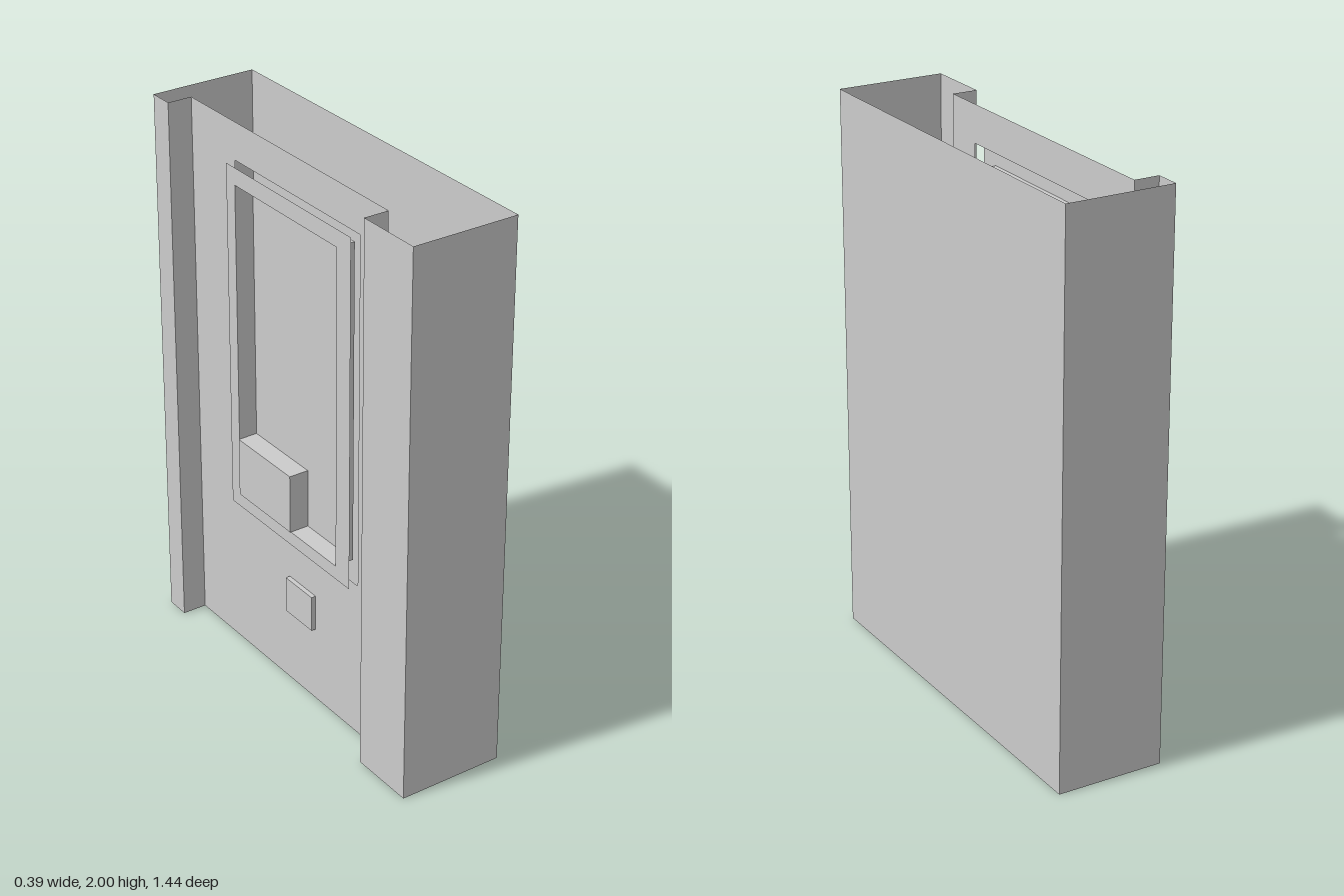
import * as THREE from 'three';

const material = new THREE.MeshStandardMaterial({
  color: 0xcccccc, flatShading: true, side: THREE.DoubleSide,
});

const H = 2;            // height
const X = 0.195;        // half thickness
const Z = 0.72;         // half width
const PANEL_X = -0.105; // recessed panel
const FRAME_X = -0.14;  // front of the window frame
const PANE_X = -0.07;   // back of the window recess

// Rectangles are [z0, z1, y0, y1]
const frameRect = [-0.37, 0.33, 0.59, 1.865];
const paneRect = [-0.32, 0.253, 0.64, 1.803];

function trace(path, [z0, z1, y0, y1]) {
  path.moveTo(z0, y0);
  path.lineTo(z1, y0);
  path.lineTo(z1, y1);
  path.lineTo(z0, y1);
  path.closePath();
  return path;
}

// Thin sheet facing -x, with an optional rectangular opening
function sheet(x, rect, hole) {
  const shape = trace(new THREE.Shape(), rect);
  if (hole) shape.holes.push(trace(new THREE.Path(), hole));
  return new THREE.ShapeGeometry(shape).rotateY(-Math.PI / 2).translate(x, 0, 0);
}

// Full-height upright sheet between two plan points [x, z]
function wall([xa, za], [xb, zb]) {
  const g = new THREE.PlaneGeometry(Math.hypot(xb - xa, zb - za), H);
  g.rotateY(-Math.atan2(zb - za, xb - xa));
  return g.translate((xa + xb) / 2, H / 2, (za + zb) / 2);
}

function block(x0, x1, [z0, z1, y0, y1]) {
  return new THREE.BoxGeometry(x1 - x0, y1 - y0, z1 - z0)
    .translate((x0 + x1) / 2, (y0 + y1) / 2, (z0 + z1) / 2);
}

export function createModel() {
  const group = new THREE.Group();
  const add = (name, geometry) => {
    const mesh = new THREE.Mesh(geometry, material);
    mesh.name = name;
    group.add(mesh);
  };

  // Outer shell, open at top and bottom, wrapped around the recessed panel
  const plan = [
    ['backPillarReturn', [PANEL_X, -0.63]],
    ['backPillarFace', [-X, -0.63]],
    ['backWall', [-X, -Z]],
    ['mainWall', [X, -Z]],
    ['frontWall', [X, Z]],
    ['frontPillarEnd', [PANEL_X, Z]],
    ['frontPillarFace', [-X, Z]],
    ['frontPillarReturn', [-X, 0.475]],
    ['end', [PANEL_X, 0.475]],
  ];
  for (let i = 0; i < plan.length - 1; i++) {
    add(plan[i][0], wall(plan[i][1], plan[i + 1][1]));
  }

  // Recessed panel with the window opening
  add('recessedPanel', sheet(PANEL_X, [-0.63, 0.475, 0, H], frameRect));

  // Flat frame standing proud of the opening
  add('windowFrame', sheet(FRAME_X, frameRect, paneRect));

  // Window recess: a box without its outer (-x) face
  const recess = block(FRAME_X, PANE_X, paneRect);
  const index = Array.from(recess.index.array);
  index.splice(6, 6);
  recess.setIndex(index);
  add('windowRecess', recess);

  // Box in the lower corner of the window, reaching through to the inside
  add('windowBox', block(-0.143, -0.015, [-0.32, -0.01, 0.64, 0.857]));

  // Small raised plate below the window
  add('smallPlate', block(-0.122, PANEL_X, [-0.07, 0.085, 0.285, 0.42]));

  return group;
}
